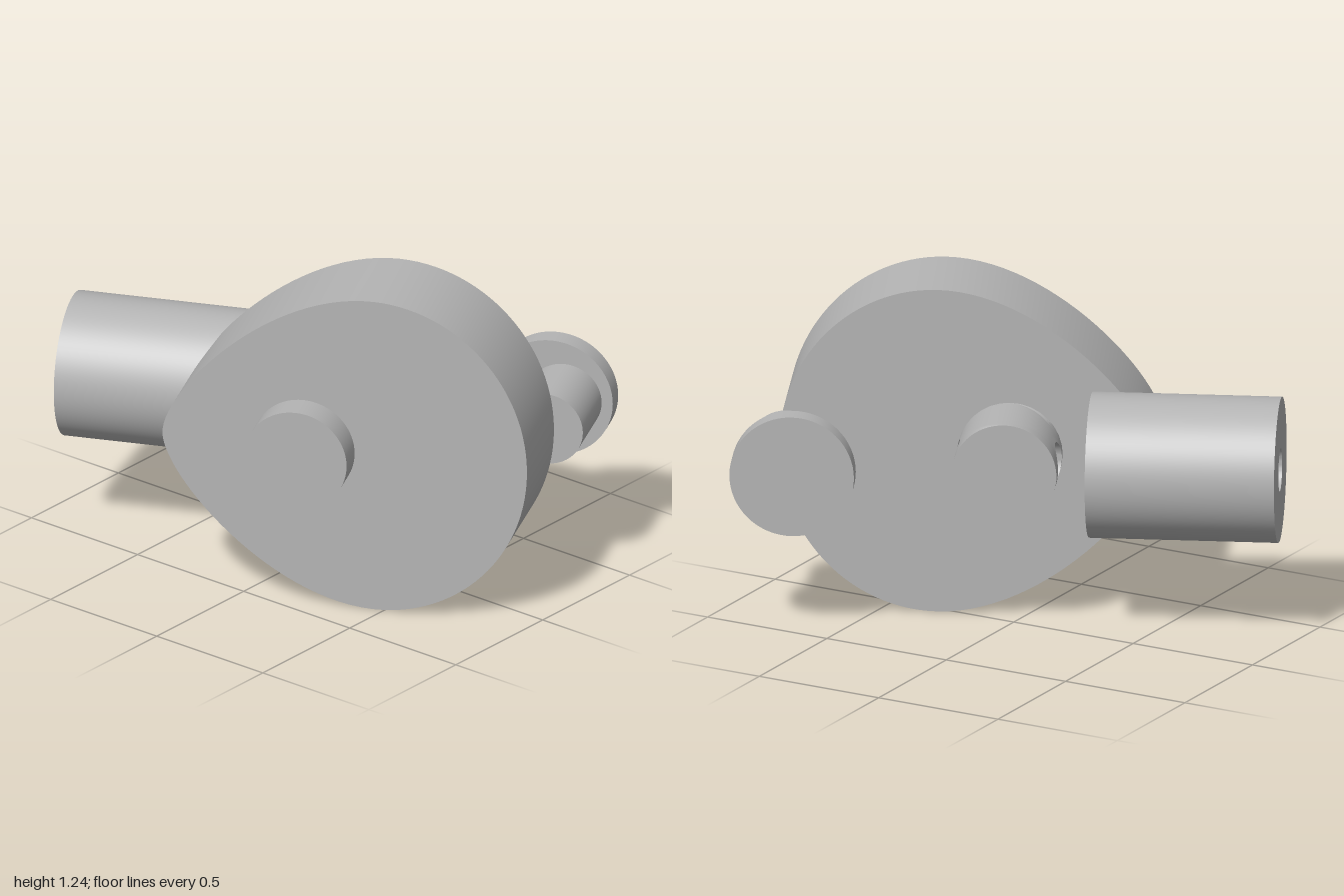
import * as THREE from 'three';
import { mergeGeometries, toCreasedNormals } from 'three/addons/utils/BufferGeometryUtils.js';

// Local frame: x runs out of the plate's face, z runs along the plate, y is up.
const PIN_R = 0.192, PIN_LEN = 0.262, BORE_R = 0.08, BORE_X = 0.115;
const THICK = 0.385;

const crease = (geo) => toCreasedNormals(geo, 0.6);

// Grid surface from point(i, j); it faces along (i direction) x (j direction)
function grid(rows, cols, point) {
  const pos = [], index = [];
  for (let i = 0; i <= rows; i++) {
    for (let j = 0; j <= cols; j++) pos.push(...point(i, j));
  }
  for (let i = 0; i < rows; i++) {
    for (let j = 0; j < cols; j++) {
      const a = i * (cols + 1) + j, b = a + cols + 1;
      index.push(a, b, b + 1, a, b + 1, a + 1);
    }
  }
  const geo = new THREE.BufferGeometry();
  geo.setAttribute('position', new THREE.Float32BufferAttribute(pos, 3));
  geo.setIndex(index);
  return geo;
}

// Solid cylinder lying along x, from x0 to x1
function barX(radius, x0, x1, z) {
  return new THREE.CylinderGeometry(radius, radius, x1 - x0, 64)
    .rotateZ(-Math.PI / 2)
    .translate((x0 + x1) / 2, 0, z);
}

// Egg-shaped plate: round front, narrower back
function plateGeometry() {
  const H = 0.618, top = 0.267, front = 0.847, back = -0.528;
  const f = front - top, b = top - back, k = 0.552;
  const s = new THREE.Shape();
  s.moveTo(-front, 0);
  s.bezierCurveTo(-front, -H * k, -top - f * k, -H, -top, -H);
  s.bezierCurveTo(-top + b * 0.5, -H, -back, -H * 0.27, -back, 0);
  s.bezierCurveTo(-back, H * 0.27, -top + b * 0.5, H, -top, H);
  s.bezierCurveTo(-top - f * k, H, -front, H * k, -front, 0);
  const geo = new THREE.ExtrudeGeometry(s, { depth: THICK, bevelEnabled: false, curveSegments: 28 });
  return crease(geo.rotateY(Math.PI / 2).translate(-THICK, 0, 0));
}

// Pin wall with a round bore passing through it along z
function pinGeometry() {
  const M = 16, N = 4 * M;
  // point j on the edge of a square of half-size 1, counterclockwise
  const square = (j) => {
    const side = Math.floor(j / M) % 4, t = ((j % M) / M) * 2 - 1;
    return [[1, t], [-t, 1], [-1, -t], [t, -1]][side];
  };
  const half = (sign) => grid(8, N, (i, j) => {
    const [sx, sy] = square(sign > 0 ? j : N - j);
    const phi = Math.atan2(sy, sx), t = i / 8;
    const h0 = BORE_R * Math.cos(phi), a0 = Math.asin(BORE_R * Math.sin(phi) / PIN_R);
    const h1 = sx > 0 ? sx * (PIN_LEN - BORE_X) : sx * BORE_X, a1 = sy * Math.PI / 2;
    const h = h0 + (h1 - h0) * t, a = a0 + (a1 - a0) * t;
    return [BORE_X + h, PIN_R * Math.sin(a), sign * PIN_R * Math.cos(a)];
  });
  const bore = grid(1, N, (i, j) => {
    const [sx, sy] = square(j), phi = Math.atan2(sy, sx);
    const y = BORE_R * Math.sin(phi);
    return [BORE_X + BORE_R * Math.cos(phi), y, (i * 2 - 1) * Math.sqrt(PIN_R ** 2 - y ** 2)];
  });
  return crease(mergeGeometries([half(1), half(-1), bore]));
}

// Hollow sleeve along z
function sleeveGeometry() {
  const R = 0.267, z0 = -0.998, z1 = -0.305;
  const profile = [[BORE_R, z0], [R, z0], [R, z1], [BORE_R, z1], [BORE_R, z0]]
    .map(([r, z]) => new THREE.Vector2(r, z));
  return crease(new THREE.LatheGeometry(profile, 72).rotateX(Math.PI / 2).scale(1, 1, -1)
    .translate(0, 0, 0));
}

export function createModel() {
  const model = new THREE.Group();
  model.name = 'crankAssembly';
  const grey = new THREE.MeshStandardMaterial({ color: 0xb4b4b4 });
  grey.name = 'plain grey';

  const body = new THREE.Group();
  body.name = 'crank';
  body.rotation.y = 0.428;
  body.position.set(-0.08, 0.618, 0.06);
  model.add(body);

  const add = (name, geo) => {
    const mesh = new THREE.Mesh(geo, grey);
    mesh.name = name;
    body.add(mesh);
    return mesh;
  };

  add('plate', plateGeometry());

  // Main pin: bored on one side of the plate, a short stub on the other
  add('boredPin', pinGeometry());
  add('pinEnd', new THREE.CircleGeometry(PIN_R, 64).rotateY(Math.PI / 2).translate(PIN_LEN, 0, 0));
  add('pinStub', barX(PIN_R, -THICK - 0.115, -THICK + 0.02, 0.005));

  // Sleeve in line with the bore; the mirrored profile is turned back to face outward
  const sleeve = sleeveGeometry();
  sleeve.rotateY(Math.PI).scale(-1, 1, 1);
  add('sleeve', sleeve).position.x = BORE_X - 0.005;

  // Handle with an off-centre disc
  add('handle', barX(0.139, 0, 0.275, 0.817));
  add('handleDisc', barX(0.228, 0.268, 0.346, 0.77));

  return model;
}
